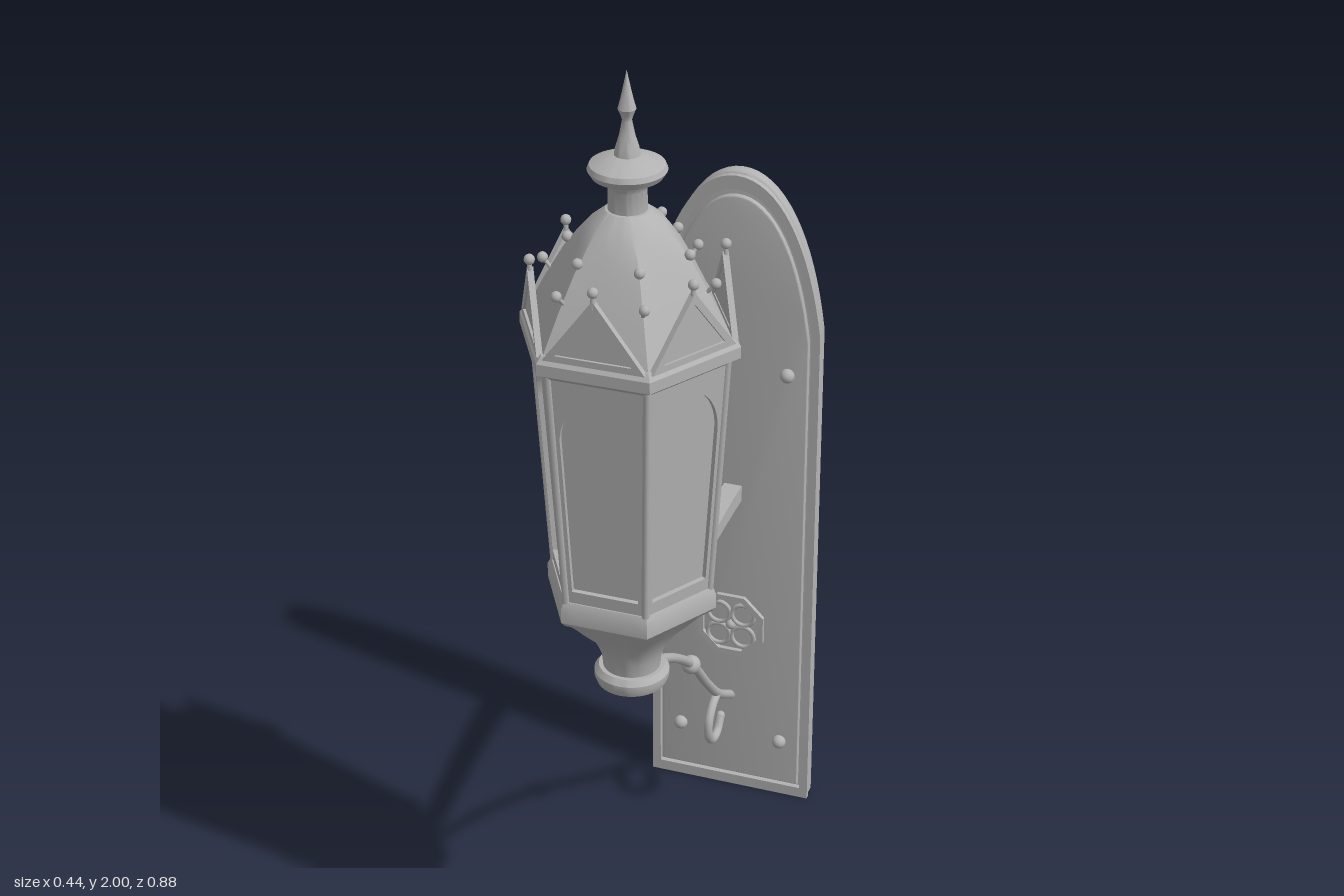
import * as THREE from 'three';
import { toCreasedNormals } from 'three/addons/utils/BufferGeometryUtils.js';

const metal = new THREE.MeshStandardMaterial({ color: 0xb2b2b2 });
metal.name = 'grey metal';
const LZ = 0.245; // lantern axis

function part(parent, name, geo, x = 0, y = 0, z = 0) {
  const m = new THREE.Mesh(geo, metal);
  m.name = name;
  m.position.set(x, y, z);
  parent.add(m);
  return m;
}

// Rings of [radius, y, roundness]: 0 is a hexagon with corners on x, 1 a circle
function loft(rows, n = 48) {
  const pos = [], idx = [];
  for (const [r, y, t] of rows) {
    for (let i = 0; i <= n; i++) {
      const a = (i / n) * Math.PI * 2;
      const local = ((i % (n / 6)) / n) * Math.PI * 2 - Math.PI / 6;
      const hex = Math.cos(Math.PI / 6) / Math.cos(local);
      const k = r * (hex + (1 - hex) * t);
      pos.push(k * Math.cos(a), y, k * Math.sin(a));
    }
  }
  for (let j = 0; j < rows.length - 1; j++) {
    for (let i = 0; i < n; i++) {
      const a = j * (n + 1) + i, b = a + n + 1;
      if (rows[j + 1][0] > 0) idx.push(a, b, b + 1);
      if (rows[j][0] > 0) idx.push(a, b + 1, a + 1);
    }
  }
  const g = new THREE.BufferGeometry();
  g.setAttribute('position', new THREE.Float32BufferAttribute(pos, 3));
  g.setIndex(idx);
  return toCreasedNormals(g, 0.6);
}

const extrude = (shape, depth, bevel = 0) => toCreasedNormals(new THREE.ExtrudeGeometry(shape, {
  depth, bevelEnabled: bevel > 0, bevelSize: bevel, bevelThickness: bevel,
  bevelOffset: -bevel, bevelSegments: 3, curveSegments: 16 }), 0.6);

const poly = (pts) => new THREE.Shape(pts.map(([x, y]) => new THREE.Vector2(x, y)));

// Tube through [z, y] points in the middle plane
const tube = (pts, r) => new THREE.TubeGeometry(new THREE.CatmullRomCurve3(
  pts.map(([z, y]) => new THREE.Vector3(0, y, z))), 48, r, 10);

// Tall plate outline with an arched head
function archPlate(w, y0, spring, top) {
  const s = new THREE.Shape();
  s.moveTo(-w, y0);
  s.lineTo(w, y0);
  s.lineTo(w, spring);
  s.bezierCurveTo(w * 0.86, spring + (top - spring) * 0.6, w * 0.5, top, 0, top);
  s.bezierCurveTo(-w * 0.5, top, -w * 0.86, spring + (top - spring) * 0.6, -w, spring);
  s.closePath();
  return s;
}

function buildBackplate() {
  const g = new THREE.Group();
  g.name = 'backplate';
  part(g, 'backSlab', extrude(archPlate(0.185, 0.01, 1.19, 1.535), 0.016, 0.01), 0, 0, -0.43);
  const rim = archPlate(0.187, 0.005, 1.19, 1.53);
  rim.holes.push(archPlate(0.168, 0.03, 1.18, 1.5));
  part(g, 'plateRim', extrude(rim, 0.012), 0, 0, -0.404);
  part(g, 'platePanel', extrude(archPlate(0.162, 0.037, 1.17, 1.485), 0.013, 0.003), 0, 0, -0.409);
  for (const x of [-0.118, 0.118]) for (const y of [0.15, 1.09])
    part(g, 'rivet', new THREE.SphereGeometry(0.016, 16, 12), x, y, -0.39);

  // Octagonal rosette with four rings
  const octagon = (r) => poly(Array.from({ length: 8 }, (_, i) => {
    const a = (i + 0.5) * Math.PI / 4;
    return [r * Math.cos(a), r * Math.sin(a)];
  }));
  const ring = octagon(0.083);
  ring.holes.push(octagon(0.069));
  part(g, 'rosetteRim', extrude(ring, 0.012), 0, 0.443, -0.395);
  for (let i = 0; i < 4; i++) {
    const a = (i + 0.5) * Math.PI / 2;
    part(g, 'rosettePetal', new THREE.TorusGeometry(0.026, 0.005, 8, 20),
      0.04 * Math.cos(a), 0.443 + 0.04 * Math.sin(a), -0.39);
  }
  part(g, 'rosetteCentre', new THREE.SphereGeometry(0.012, 12, 8), 0, 0.443, -0.39);
  return g;
}

function buildBracket() {
  const g = new THREE.Group();
  g.name = 'bracket';
  // Flat arm, drawn along z then turned into place
  const s = new THREE.Shape();
  s.moveTo(-0.23, 0.705);
  s.bezierCurveTo(-0.05, 0.73, 0.2, 0.765, 0.395, 0.765);
  s.lineTo(0.395, 0.802);
  s.bezierCurveTo(0.2, 0.802, -0.02, 0.745, -0.23, 0.727);
  s.closePath();
  part(g, 'arm', extrude(s, 0.04), -0.02, 0, 0).rotation.y = Math.PI / 2;
  part(g, 'lowerBrace', tube([[0.24, 0.703], [0.16, 0.68], [0.02, 0.61], [-0.12, 0.505],
    [-0.22, 0.395], [-0.3, 0.315], [-0.395, 0.25]], 0.0105));
  part(g, 'braceCollar', new THREE.SphereGeometry(0.021, 16, 12), 0, 0.506, -0.118);
  part(g, 'hook', tube([[-0.3, 0.318], [-0.265, 0.305], [-0.24, 0.275], [-0.242, 0.235],
    [-0.27, 0.21], [-0.3, 0.213], [-0.322, 0.24]], 0.01));
  part(g, 'hookEnd', new THREE.SphereGeometry(0.0105, 10, 8), 0, 0.24, -0.322);
  return g;
}

function buildFace() {
  const g = new THREE.Group();
  g.name = 'lanternSide';
  // Sloping window frame with an arched opening
  const frame = poly([[-0.0815, 0], [0.0815, 0], [0.0975, 0.501], [-0.0975, 0.501]]);
  const hole = new THREE.Path();
  hole.moveTo(-0.067, 0.03);
  hole.lineTo(0.067, 0.03);
  hole.lineTo(0.078, 0.37);
  hole.bezierCurveTo(0.075, 0.43, 0.035, 0.468, 0, 0.468);
  hole.bezierCurveTo(-0.035, 0.468, -0.075, 0.43, -0.078, 0.37);
  hole.closePath();
  frame.holes.push(hole);
  const f = part(g, 'windowFrame', extrude(frame, 0.012), 0, 0.95, 0.131);
  f.rotation.x = Math.atan2(0.028, 0.5);

  // Gable above the window
  const gable = poly([[-0.1, 1.495], [0.1, 1.495], [0, 1.63]]);
  gable.holes.push(poly([[-0.074, 1.508], [0.074, 1.508], [0, 1.607]]));
  part(g, 'gableFrame', extrude(gable, 0.012), 0, 0, 0.176);
  part(g, 'gablePanel', extrude(poly([[-0.085, 1.5], [0.085, 1.5], [0, 1.615]]), 0.005), 0, 0, 0.178);
  part(g, 'gablePin', new THREE.CylinderGeometry(0.004, 0.006, 0.03, 8), 0, 1.628, 0.183);
  part(g, 'gableBall', new THREE.SphereGeometry(0.0105, 12, 8), 0, 1.645, 0.183);
  return g;
}

function buildCorner() {
  const g = new THREE.Group();
  g.name = 'lanternCorner';
  const post = new THREE.LineCurve3(new THREE.Vector3(0.162, 0.95, 0), new THREE.Vector3(0.194, 1.455, 0));
  part(g, 'cornerPost', new THREE.TubeGeometry(post, 1, 0.008, 8));
  part(g, 'ridgeBall', new THREE.SphereGeometry(0.0105, 12, 8), 0.17, 1.607, 0);
  part(g, 'ridgeBall', new THREE.SphereGeometry(0.0105, 12, 8), 0.12, 1.657, 0);
  // Pins carry the balls above the roof ridge
  for (const [x, y] of [[0.17, 1.607], [0.12, 1.657]]) {
    const pin = part(g, 'ridgePin', new THREE.CylinderGeometry(0.004, 0.004, 0.04, 8), x - 0.012, y - 0.014, 0);
    pin.rotation.z = -0.7;
  }
  return g;
}

function buildLantern() {
  const g = new THREE.Group();
  g.name = 'lantern';
  g.position.z = LZ;
  part(g, 'baseDisc', loft([[0, 0.695, 1], [0.055, 0.695, 1], [0.07, 0.705, 1], [0.075, 0.718, 1],
    [0.075, 0.73, 1], [0.066, 0.742, 1], [0, 0.742, 1]]));
  part(g, 'funnel', loft([[0.057, 0.738, 1], [0.06, 0.77, 1], [0.073, 0.8, 0.9], [0.09, 0.825, 0.6],
    [0.115, 0.85, 0.3], [0.143, 0.88, 0.1], [0.165, 0.9, 0]]));
  part(g, 'lowerRim', loft([[0, 0.897, 0], [0.166, 0.897, 0], [0.176, 0.908, 0], [0.176, 0.938, 0],
    [0.168, 0.953, 0], [0, 0.953, 0]]));
  part(g, 'glass', loft([[0.154, 0.95, 0], [0.187, 1.455, 0]]));
  part(g, 'upperRim', loft([[0, 1.448, 0], [0.198, 1.448, 0], [0.206, 1.457, 0], [0.22, 1.463, 0],
    [0.22, 1.486, 0], [0.208, 1.5, 0], [0, 1.5, 0]]));
  part(g, 'roof', loft([[0.204, 1.498, 0], [0.165, 1.573, 0], [0.126, 1.64, 0.05], [0.1, 1.675, 0.3],
    [0.07, 1.71, 0.75], [0.042, 1.732, 1], [0, 1.735, 1]]));
  part(g, 'neckAndCap', loft([[0.037, 1.725, 1], [0.036, 1.775, 1], [0.044, 1.788, 1], [0.066, 1.797, 1],
    [0.074, 1.81, 1], [0.07, 1.82, 1], [0.045, 1.832, 1], [0.022, 1.839, 1], [0, 1.84, 1]]));
  part(g, 'finial', loft([[0.025, 1.835, 1], [0.022, 1.852, 1], [0.015, 1.875, 1], [0.009, 1.905, 1],
    [0.012, 1.915, 1], [0.017, 1.926, 1], [0.012, 1.945, 1], [0.006, 1.972, 1], [0, 2, 1]], 24));
  for (let i = 0; i < 6; i++) {
    const face = buildFace(), corner = buildCorner();
    face.rotation.y = corner.rotation.y = (i * Math.PI) / 3;
    g.add(face, corner);
  }
  return g;
}

export function createModel() {
  const model = new THREE.Group();
  model.name = 'wallLantern';
  model.add(buildBackplate(), buildBracket(), buildLantern());
  return model;
}
